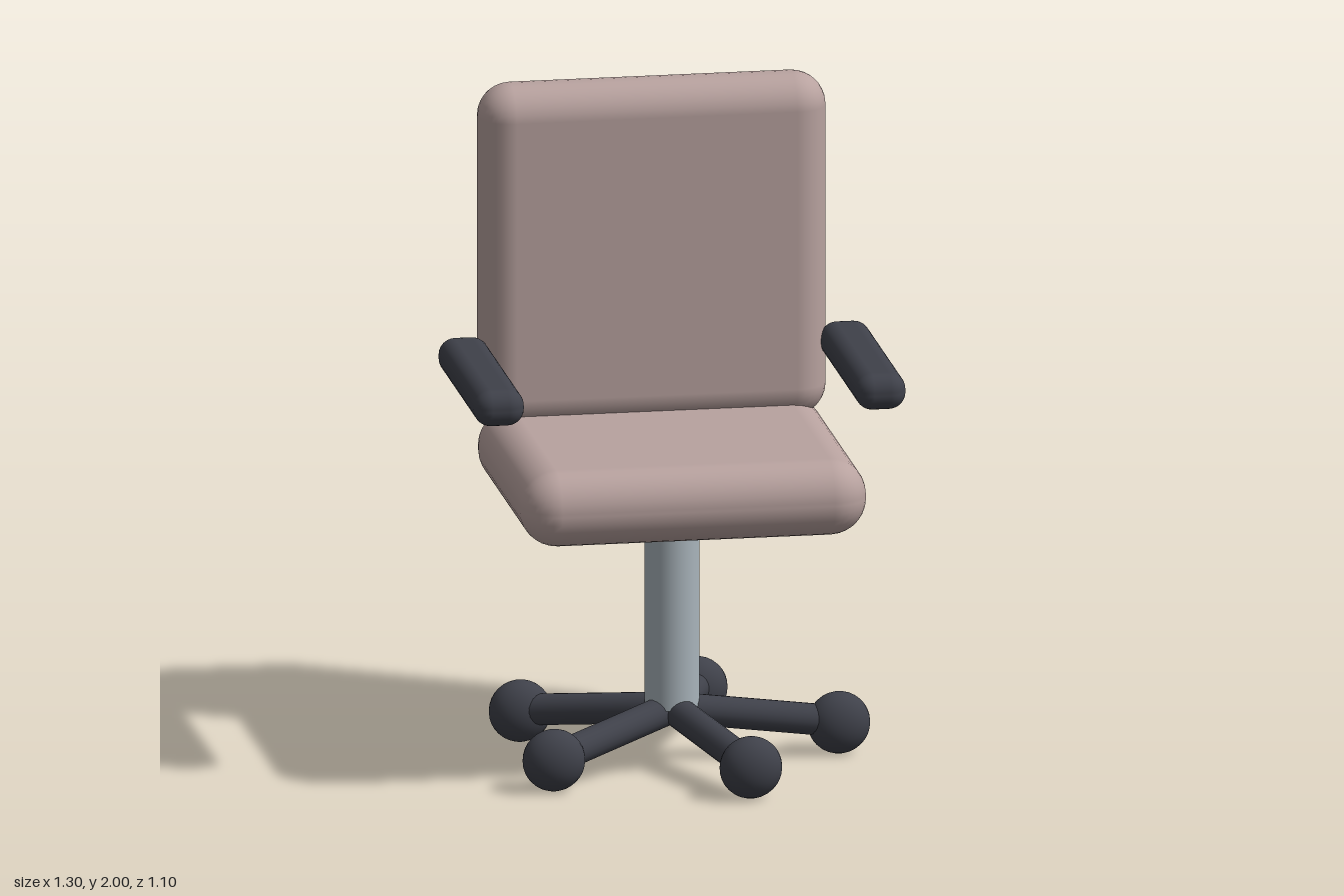
import * as THREE from 'three';
import { RoundedBoxGeometry } from 'three/addons/geometries/RoundedBoxGeometry.js';

const fabric = new THREE.MeshStandardMaterial({ color: 0xb8a29f });
const plastic = new THREE.MeshStandardMaterial({ color: 0x3f414a });
const metal = new THREE.MeshStandardMaterial({ color: 0xa9b4bb });

export function createModel() {
  const chair = new THREE.Group();
  chair.name = 'officeChair';

  const add = (name, geometry, material, x, y, z, parent = chair) => {
    const mesh = new THREE.Mesh(geometry, material);
    mesh.name = name;
    mesh.position.set(x, y, z);
    parent.add(mesh);
    return mesh;
  };

  // Cushions
  add('seat', new RoundedBoxGeometry(1.04, 0.23, 0.945, 4, 0.11), fabric, 0, 0.885, 0);
  add('backrest', new RoundedBoxGeometry(1.045, 1.05, 0.21, 4, 0.1), fabric, 0, 1.475, -0.362);

  // Armrests
  for (const side of [1, -1]) {
    add(side > 0 ? 'leftArmrest' : 'rightArmrest',
      new RoundedBoxGeometry(0.15, 0.11, 0.71, 4, 0.05), plastic, side * 0.574, 1.185, 0);
  }

  // Central column
  const bottom = 0.17, top = 0.8;
  add('post', new THREE.CylinderGeometry(0.082, 0.082, top - bottom, 32), metal, 0, (top + bottom) / 2, 0);

  // Five-legged star base, a slightly flattened caster ball at each tip
  const base = new THREE.Group();
  base.name = 'starBase';
  chair.add(base);
  const up = new THREE.Vector3(0, 1, 0);
  for (let i = 0; i < 5; i++) {
    const a = (i * Math.PI * 2) / 5;
    const at = (r, y) => new THREE.Vector3(r * Math.cos(a), y, r * Math.sin(a));
    const inner = at(0.015, 0.16), tip = at(0.48, 0.1);
    const mid = inner.clone().add(tip).multiplyScalar(0.5);
    const leg = add('leg', new THREE.CylinderGeometry(0.047, 0.047, inner.distanceTo(tip), 20),
      plastic, mid.x, mid.y, mid.z, base);
    leg.quaternion.setFromUnitVectors(up, tip.clone().sub(inner).normalize());

    const c = at(0.502, 0.094);
    add('caster', new THREE.SphereGeometry(0.094, 24, 16), plastic, c.x, c.y, c.z, base).scale.z = 0.755;
  }

  return chair;
}
